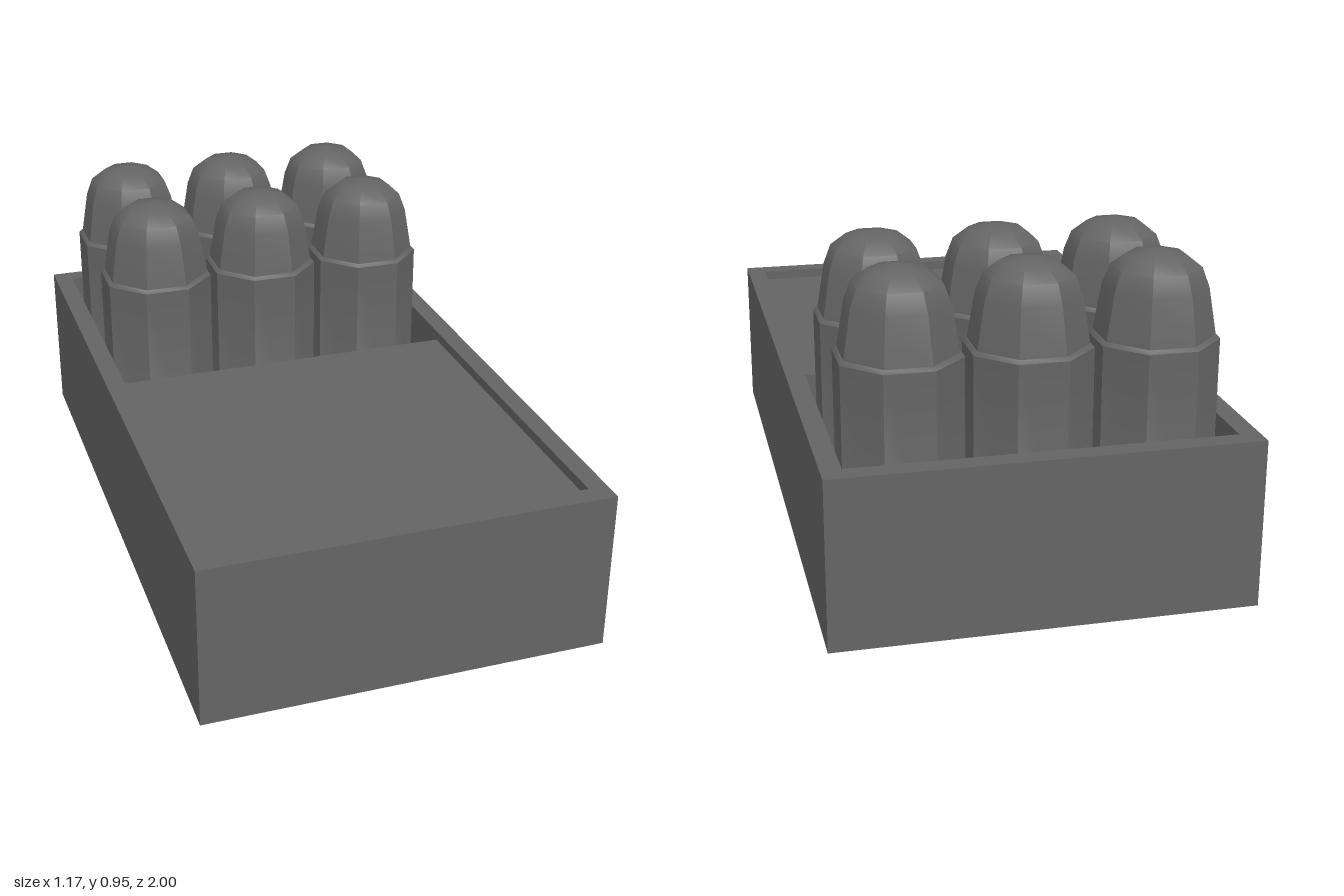
import * as THREE from 'three';
import { toCreasedNormals } from 'three/addons/utils/BufferGeometryUtils.js';

const W = 0.587, D = 1, H = 0.48;      // box half width, half depth, height
const IW = 0.53, ID = 0.94;            // inner half width, half depth
const FLOOR = 0.06, LID_TOP = 0.45, LID_BACK = -0.13;
const material = new THREE.MeshStandardMaterial({ color: 0x646464 });

function part(name, geometry, parent, x = 0, y = 0, z = 0) {
  const mesh = new THREE.Mesh(geometry, material);
  mesh.name = name;
  mesh.position.set(x, y, z);
  parent.add(mesh);
}

const rect = (Type, w, d) => new Type([[-w, -d], [w, -d], [w, d], [-w, d]].map(([x, y]) => new THREE.Vector2(x, y)));

// Eight-sided turned body; profile gives [distance to flat, height]
function octagonal(profile) {
  const points = profile.map(([r, y]) => new THREE.Vector2(r / Math.cos(Math.PI / 8), y));
  return toCreasedNormals(new THREE.LatheGeometry(points, 8, Math.PI / 8), 0.65);
}

export function createModel() {
  const model = new THREE.Group();
  model.name = 'boxOfRounds';

  // Box: wall frame, floor and the raised panel over the front part
  const frame = rect(THREE.Shape, W, D);
  frame.holes.push(rect(THREE.Path, IW, ID));
  const walls = new THREE.ExtrudeGeometry(frame, { depth: H, bevelEnabled: false });
  walls.rotateX(-Math.PI / 2);
  part('boxWalls', walls, model);
  part('boxFloor', new THREE.BoxGeometry(2 * IW, FLOOR, 2 * ID), model, 0, FLOOR / 2, 0);
  const lidDepth = ID - LID_BACK;
  part('frontPanel', new THREE.BoxGeometry(2 * IW, LID_TOP - FLOOR, lidDepth), model,
    0, (LID_TOP + FLOOR) / 2, LID_BACK + lidDepth / 2);

  // Rounds: octagonal casing with a base flange and bevelled lip, and a domed tip
  const casing = octagonal([[0, FLOOR], [0.171, FLOOR], [0.171, 0.1], [0.164, 0.11],
    [0.164, 0.706], [0.155, 0.716], [0.14, 0.716]]);
  const tip = octagonal([[0.154, 0.708], [0.132, 0.846], [0.113, 0.9], [0.072, 0.934], [0, 0.948]]);
  for (const z of [-0.373, -0.738]) {
    for (const x of [-0.353, -0.003, 0.347]) {
      const round = new THREE.Group();
      round.name = 'round';
      round.position.set(x, 0, z);
      part('casing', casing, round);
      part('tip', tip, round);
      model.add(round);
    }
  }
  return model;
}
